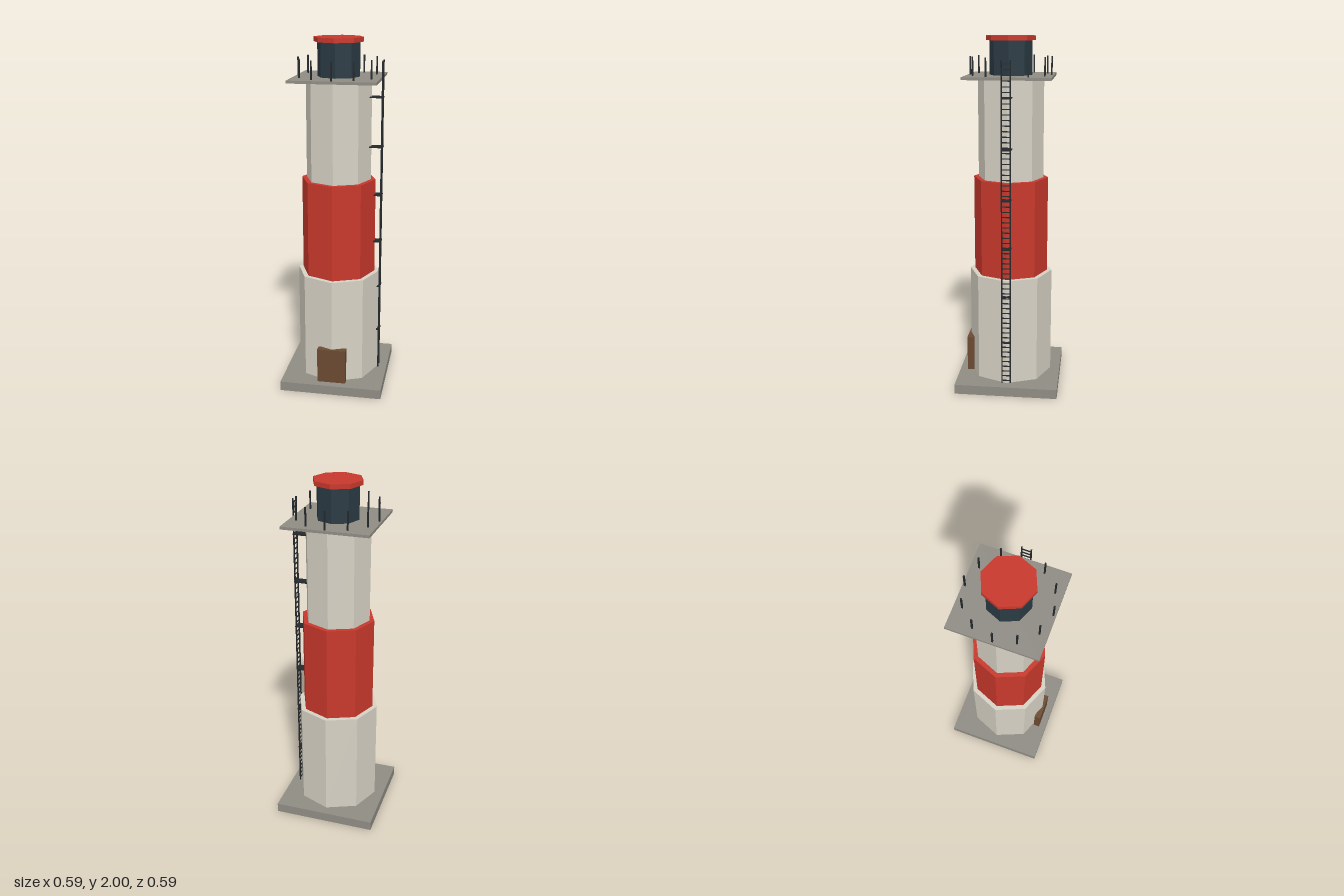
import * as THREE from 'three';

const material = (color) => new THREE.MeshStandardMaterial({ color, flatShading: true });

export function createModel() {
  const model = new THREE.Group();
  model.name = 'lighthouse';

  const cream = material(0xd6d1c4);
  const red = material(0xc8382c);
  const stone = material(0x8f8c84);
  const glass = material(0x2a3a44);
  const wood = material(0x6b4a32);
  const iron = material(0x24282b);

  const add = (name, geometry, mat, x, y, z, parent = model) => {
    const mesh = new THREE.Mesh(geometry, mat);
    mesh.name = name;
    mesh.position.set(x, y, z);
    parent.add(mesh);
    return mesh;
  };
  // Eight-sided drum between two heights
  const drum = (name, radius, bottom, top, mat) =>
    add(name, new THREE.CylinderGeometry(radius, radius, top - bottom, 8), mat, 0, (bottom + top) / 2, 0);
  // Box given by its extents
  const box = (name, x0, x1, y0, y1, z0, z1, mat, parent) =>
    add(name, new THREE.BoxGeometry(x1 - x0, y1 - y0, z1 - z0), mat,
      (x0 + x1) / 2, (y0 + y1) / 2, (z0 + z1) / 2, parent);

  // Base, stepped tower and lantern
  box('base', -0.293, 0.293, 0, 0.055, -0.293, 0.293, stone);
  drum('lowerTower', 0.238, 0.055, 0.672, cream);
  drum('middleTower', 0.211, 0.672, 1.22, red);
  drum('upperTower', 0.184, 1.22, 1.775, cream);
  box('gallery', -0.238, 0.238, 1.775, 1.79, -0.238, 0.238, stone);
  drum('lantern', 0.118, 1.79, 1.975, glass);
  drum('roof', 0.137, 1.975, 2.0, red);
  box('door', -0.082, 0.082, 0.055, 0.26, 0.212, 0.25, wood);

  // Gallery posts in a ring, left open at the ladder
  const posts = new THREE.Group();
  posts.name = 'galleryPosts';
  model.add(posts);
  for (let i = 1; i < 12; i++) {
    const a = (i * Math.PI) / 6;
    add('post', new THREE.BoxGeometry(0.008, 0.1, 0.008), iron,
      0.225 * Math.cos(a), 1.84, 0.225 * Math.sin(a), posts);
  }

  // Ladder: rails, rungs and wall brackets
  const ladder = new THREE.Group();
  ladder.name = 'ladder';
  model.add(ladder);
  for (const z of [-0.024, 0.024]) {
    box('rail', 0.24, 0.247, 0.06, 1.88, z - 0.0035, z + 0.0035, iron, ladder);
  }
  const rungs = 62;
  for (let i = 0; i < rungs; i++) {
    const y = 0.075 + (i * 1.785) / (rungs - 1);
    box('rung', 0.241, 0.246, y - 0.0025, y + 0.0025, -0.024, 0.024, iron, ladder);
  }
  for (let i = 0; i < 6; i++) {
    const y = 0.307 + i * 0.275;
    const wall = y < 0.672 ? 0.23 : y < 1.22 ? 0.203 : 0.174;
    box('bracket', wall, 0.25, y - 0.003, y + 0.003, -0.027, 0.027, iron, ladder);
  }
  return model;
}
